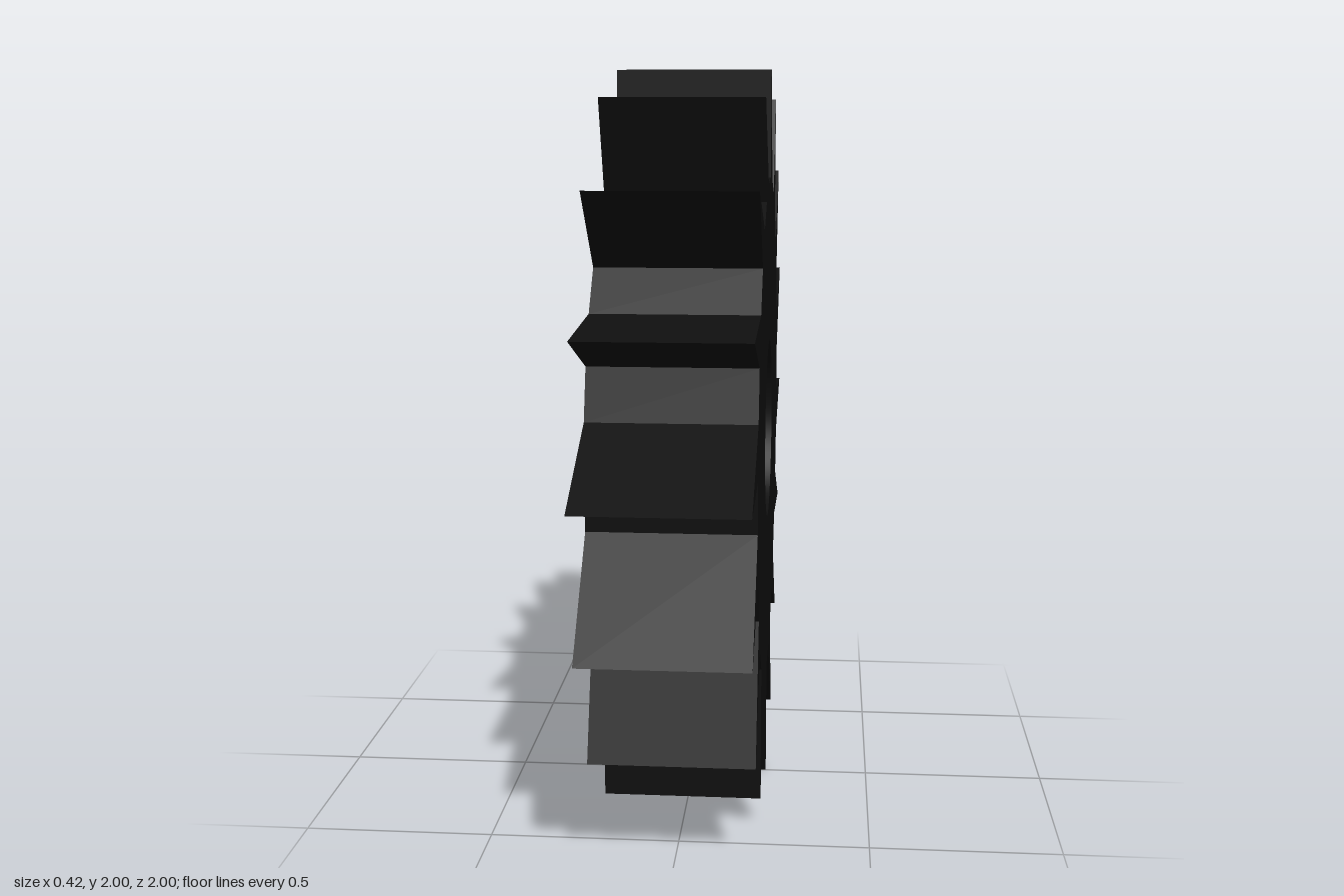
import * as THREE from 'three';
import { toCreasedNormals } from 'three/addons/utils/BufferGeometryUtils.js';

const TEETH = 16;
const TIP_RADIUS = 1;
const ROOT_RADIUS = 0.693;
const BORE_RADIUS = 0.246;
const WIDTH = 0.42;
const HUB = new THREE.Vector2(-0.009, 1.02); // hub sits slightly off the tip circle's centre
const TIP_CENTRE = new THREE.Vector2(0, 1);

// Point on a circle, measured clockwise from the top
function polar(centre, radius, angle) {
  return new THREE.Vector2(centre.x + radius * Math.sin(angle), centre.y + radius * Math.cos(angle));
}

export function createModel() {
  const group = new THREE.Group();
  group.name = 'spikedWheel';

  // Raked teeth: root, tip in line with that root, then the next root
  const step = (Math.PI * 2) / TEETH;
  const outline = [];
  for (let i = 0; i < TEETH; i++) {
    const a = i * step;
    outline.push(
      polar(HUB, ROOT_RADIUS, a),
      polar(TIP_CENTRE, TIP_RADIUS, a),
      polar(HUB, ROOT_RADIUS, a + step / 2)
    );
  }
  const shape = new THREE.Shape(outline);

  // Round axle bore
  const bore = new THREE.Path();
  bore.absarc(HUB.x, HUB.y, BORE_RADIUS, 0, Math.PI * 2, false);
  shape.holes.push(bore);

  // Extrude, centre the thickness and turn the axle along x
  const geometry = new THREE.ExtrudeGeometry(shape, { depth: WIDTH, bevelEnabled: false, curveSegments: 32 });
  geometry.translate(0, 0, -WIDTH / 2);
  geometry.rotateY(Math.PI / 2);

  const wheel = new THREE.Mesh(
    toCreasedNormals(geometry, Math.PI / 9),
    new THREE.MeshStandardMaterial({ color: 0x101010 })
  );
  wheel.name = 'toothedWheel';
  group.add(wheel);
  return group;
}
